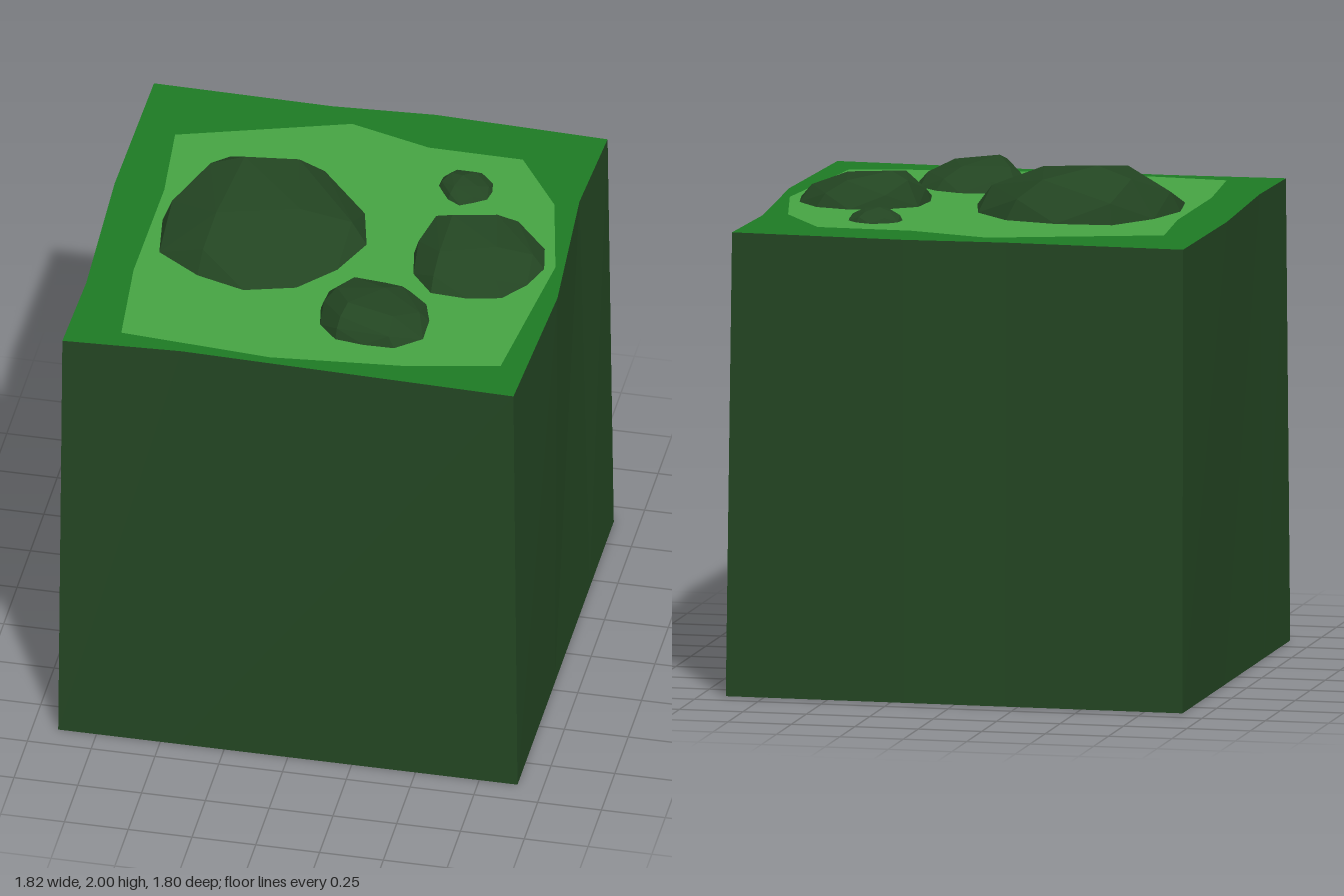
import * as THREE from 'three';
import { mergeGeometries } from 'three/addons/utils/BufferGeometryUtils.js';
import { ConvexGeometry } from 'three/addons/geometries/ConvexGeometry.js';

const TOP = 1.8;   // height of the grass surface
const HALF = 0.9;  // half width of the square base

const mat = color => new THREE.MeshStandardMaterial({ color, flatShading: true });

// Plan outlines as [x, z], starting at the back left of the plan
const rimOutline = [
  [-0.9, -0.89], [-0.2, -0.88], [0.2, -0.905], [0.88, -0.88], [0.86, -0.45], [0.91, 0.2],
  [0.88, 0.88], [-0.43, 0.845], [-0.89, 0.87], [-0.88, 0.47], [-0.91, -0.2],
];
const patchOutline = [
  [-0.75, -0.57], [-0.1, -0.78], [0.22, -0.685], [0.59, -0.68], [0.77, -0.41], [0.86, 0],
  [0.79, 0.69], [0.44, 0.765], [-0.09, 0.815], [-0.68, 0.77], [-0.72, 0.35], [-0.715, -0.2],
];

// Flat horizontal face at the grass level, with an optional hole
function flatFace(outline, hole) {
  const points = list => list.map(([x, z]) => new THREE.Vector2(x, -z));
  const shape = new THREE.Shape(points(outline));
  if (hole) shape.holes.push(new THREE.Path(points(hole)));
  return new THREE.ShapeGeometry(shape).rotateX(-Math.PI / 2).translate(0, TOP, 0);
}

// Walls lofted from the square base to the uneven top edge, plus the underside
function blockGeometry() {
  const snap = v => (Math.abs(v) > 0.8 ? Math.sign(v) * HALF : v);
  const top = ([x, z]) => [x, TOP, z];
  const base = ([x, z]) => [snap(x), 0, snap(z)];
  const positions = rimOutline.flatMap((a, i) => {
    const b = rimOutline[(i + 1) % rimOutline.length];
    return [base(b), base(a), top(a), base(b), top(a), top(b)].flat();
  });
  const walls = new THREE.BufferGeometry();
  walls.setAttribute('position', new THREE.Float32BufferAttribute(positions, 3));
  walls.computeVertexNormals();
  const underside = new THREE.PlaneGeometry(2 * HALF, 2 * HALF).rotateX(Math.PI / 2).toNonIndexed();
  underside.deleteAttribute('uv');
  return mergeGeometries([walls, underside]);
}

// Faceted dome: an uneven footprint (radii at equal angles from +x towards +z)
// with two sparser rings drawn in towards an off-centre peak
function rockGeometry([cx, cz], peak, radii) {
  const summit = new THREE.Vector3(...peak);
  const foot = radii.map((r, i) => {
    const a = (i / radii.length) * Math.PI * 2;
    return new THREE.Vector3(cx + r * Math.cos(a), TOP, cz + r * Math.sin(a));
  });
  const ring = (inward, rise, step, start) => foot
    .filter((_, i) => i % step === start)
    .map(p => p.clone().lerp(summit, inward).setY(TOP + rise * (summit.y - TOP)));
  return new ConvexGeometry([...foot, ...ring(0.12, 0.4, 2, 0), ...ring(0.4, 0.76, 3, 1), summit]);
}

export function createModel() {
  const group = new THREE.Group();
  group.name = 'grassBlock';
  const add = (name, geometry, material) => {
    const mesh = new THREE.Mesh(geometry, material);
    mesh.name = name;
    group.add(mesh);
  };
  const dark = mat(0x234522);

  // Block with a dark grass border around a lighter patch
  add('block', blockGeometry(), dark);
  add('grassBorder', flatFace(rimOutline, patchOutline), mat(0x1d7a24));
  add('grassPatch', flatFace(patchOutline), mat(0x46a343));

  // Rocks lying on the grass: centre, peak, footprint radii
  add('largeRock', rockGeometry([-0.28, 0], [-0.4, 2, -0.2],
    [0.4, 0.375, 0.39, 0.395, 0.386, 0.425, 0.4, 0.395, 0.44, 0.4, 0.41, 0.405]), dark);
  add('mediumRock', rockGeometry([0.57, 0.02], [0.44, 1.93, -0.08],
    [0.25, 0.24, 0.26, 0.255, 0.285, 0.27, 0.26, 0.283, 0.265, 0.265, 0.27, 0.26]), dark);
  add('frontRock', rockGeometry([0.245, 0.45], [0.16, 1.905, 0.54],
    [0.215, 0.25, 0.24, 0.21, 0.225, 0.22, 0.21, 0.232, 0.235, 0.215, 0.205, 0.21]), dark);
  add('smallRock', rockGeometry([0.415, -0.445], [0.4, 1.85, -0.46],
    [0.105, 0.11, 0.1, 0.115, 0.1, 0.09, 0.105, 0.115, 0.115, 0.115, 0.11, 0.11]), dark);
  return group;
}
